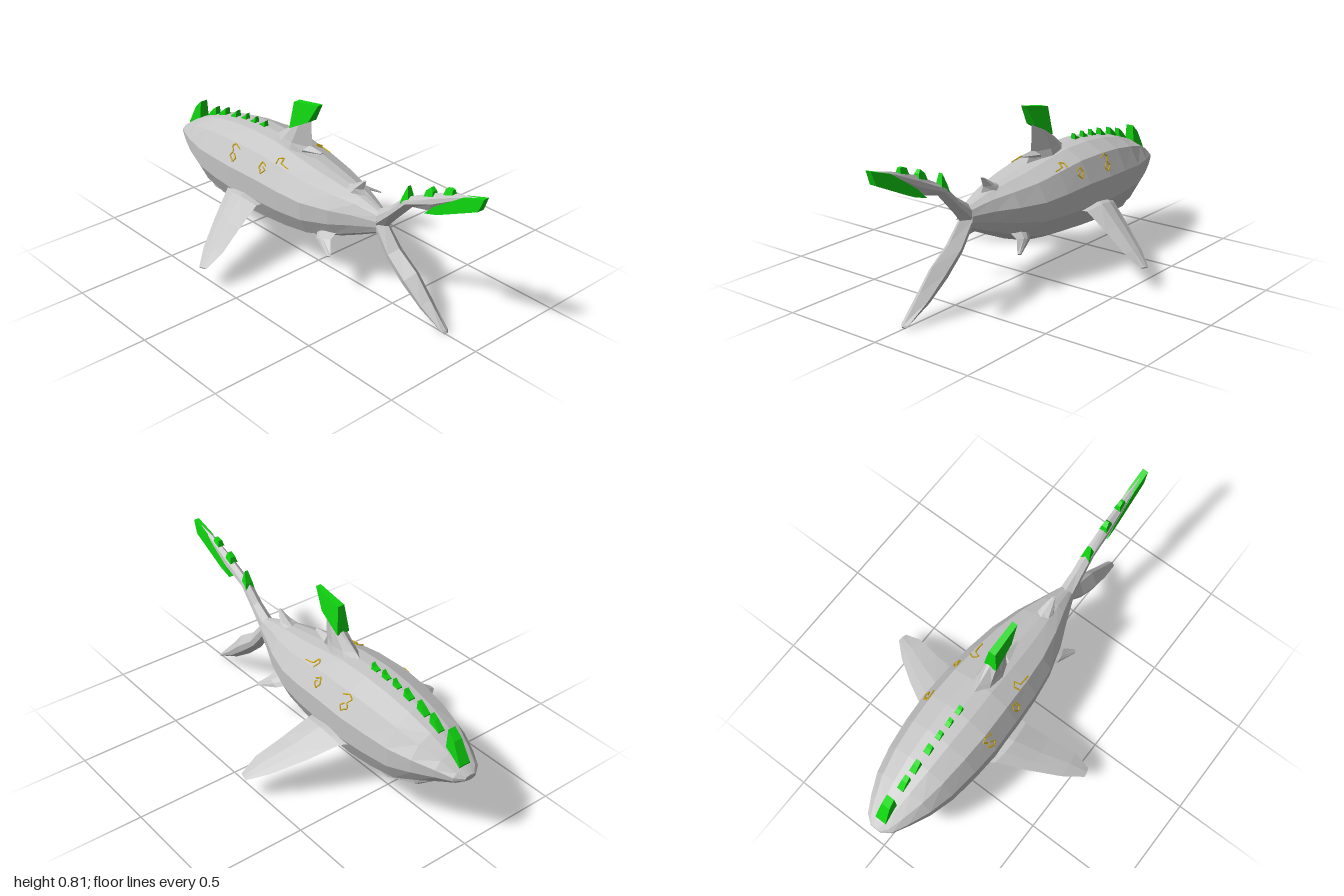
import * as THREE from 'three';

const V = (x, y, z) => new THREE.Vector3(x, y, z);

// Faceted closed skin through rings of equal point count, turned outward by its signed volume
function loft(rings) {
  const n = rings[0].length, last = rings.length - 1;
  let tris = [];
  for (let i = 0; i < last; i++) for (let j = 0; j < n; j++) {
    const k = (j + 1) % n, a = rings[i][j], b = rings[i][k], c = rings[i + 1][k], d = rings[i + 1][j];
    tris.push([a, b, c], [a, c, d]);
  }
  for (let j = 1; j < n - 1; j++) {
    tris.push([rings[0][0], rings[0][j + 1], rings[0][j]]);
    tris.push([rings[last][0], rings[last][j], rings[last][j + 1]]);
  }
  const volume = tris.reduce((s, [a, b, c]) => s + a.dot(b.clone().cross(c)), 0);
  if (volume < 0) tris = tris.map(([a, b, c]) => [a, c, b]);
  const g = new THREE.BufferGeometry().setFromPoints(tris.flat());
  g.computeVertexNormals();
  return g;
}

// Fin from [leading point, trailing point, half thickness] stations; thickness runs along dir
function fin(stations, dir) {
  return loft(stations.map(([a, b, t]) => {
    const lead = V(...a), trail = V(...b);
    const at = (f, s) => lead.clone().lerp(trail, f).addScaledVector(dir, s);
    return [lead, at(0.25, t * 0.85), at(0.55, t), trail, at(0.55, -t), at(0.25, -t * 0.85)];
  }));
}

// Upright plate from a [z, y] outline, optionally narrowing towards its top
function plate(outline, half, topScale = 1) {
  const shape = new THREE.Shape(outline.map(([z, y]) => new THREE.Vector2(z, y)));
  const g = new THREE.ExtrudeGeometry(shape, { depth: half * 2, bevelEnabled: false });
  g.translate(0, 0, -half).rotateY(-Math.PI / 2);
  const ys = outline.map(p => p[1]), lo = Math.min(...ys), hi = Math.max(...ys), p = g.attributes.position;
  for (let i = 0; i < p.count; i++) {
    p.setX(i, p.getX(i) * THREE.MathUtils.lerp(1, topScale, (p.getY(i) - lo) / (hi - lo)));
  }
  g.computeVertexNormals();
  return g;
}

// Body stations: z, half width, top y, bottom y
const BODY = [
  [-1, 0.03, 0.382, 0.357], [-0.97, 0.07, 0.402, 0.338], [-0.9, 0.108, 0.447, 0.305],
  [-0.8, 0.152, 0.498, 0.25], [-0.68, 0.182, 0.538, 0.185], [-0.54, 0.2, 0.565, 0.163],
  [-0.4, 0.209, 0.577, 0.152], [-0.24, 0.203, 0.573, 0.158], [-0.08, 0.192, 0.548, 0.17],
  [0.06, 0.172, 0.522, 0.188], [0.2, 0.13, 0.498, 0.235], [0.31, 0.082, 0.475, 0.283],
  [0.42, 0.038, 0.438, 0.335],
];
// Right half of the cross-section: fraction of width, fraction of height
const SECTION = [[0, 1], [0.3, 0.985], [0.73, 0.88], [1, 0.63], [0.98, 0.36], [0.74, 0.12], [0.28, 0.01]];
const half = ([z, w, top, bot]) => SECTION.map(([u, v]) => V(u * w, bot + v * (top - bot), z));

function bodyRing(row) {
  const right = half(row);
  const left = right.slice(1).reverse().map(p => V(-p.x, p.y, p.z));
  return [...right, ...left];
}

function bodyRow(z) {
  const i = Math.max(1, BODY.findIndex(r => r[0] >= z));
  const a = BODY[i - 1], b = BODY[i], f = (z - a[0]) / (b[0] - a[0]);
  return a.map((v, k) => v + (b[k] - v) * f);
}

// Point on the flank at a given z and y
function flank(z, y) {
  const pts = half(bodyRow(z));
  const i = pts.findIndex((p, k) => k > 0 && p.y <= y);
  const p = pts[i - 1].clone().lerp(pts[i], (pts[i - 1].y - y) / (pts[i - 1].y - pts[i].y));
  return p.add(V(0.002, 0.002, 0));
}

export function createModel() {
  const root = new THREE.Group();
  root.name = 'armouredShark';
  const material = (name, color) => Object.assign(new THREE.MeshStandardMaterial({ color }), { name });
  const skin = material('grey skin', 0xc6c6c6);
  const green = material('green armour', 0x0fd40f);
  const gold = material('gold markings', 0xd8b010);
  const add = (name, geometry, mat) => {
    const mesh = new THREE.Mesh(geometry, mat);
    mesh.name = name;
    root.add(mesh);
  };
  const X = V(1, 0, 0);

  add('body', loft(BODY.map(bodyRing)), skin);
  add('lowerJaw', loft([
    [-0.84, 0.04, 0.277, 0.26], [-0.77, 0.095, 0.275, 0.21], [-0.63, 0.13, 0.25, 0.166], [-0.45, 0.11, 0.22, 0.16],
  ].map(bodyRing)), skin);

  // Tail lobes
  add('upperTailLobe', fin([
    [[0, 0.445, 0.40], [0, 0.335, 0.42], 0.038],
    [[0, 0.50, 0.485], [0, 0.43, 0.50], 0.03],
    [[0, 0.567, 0.556], [0, 0.535, 0.60], 0.026],
    [[0, 0.655, 0.73], [0, 0.56, 0.71], 0.024],
    [[0, 0.702, 0.87], [0, 0.655, 0.85], 0.015],
    [[0, 0.727, 0.98], [0, 0.715, 0.97], 0.006],
  ], X), skin);
  add('lowerTailLobe', fin([
    [[0, 0.335, 0.40], [0, 0.42, 0.43], 0.036],
    [[0, 0.24, 0.475], [0, 0.30, 0.53], 0.044],
    [[0, 0.15, 0.575], [0, 0.225, 0.64], 0.048],
    [[0, 0.07, 0.69], [0, 0.13, 0.725], 0.038],
    [[0, 0.015, 0.81], [0, 0.02, 0.83], 0.02],
    [[0, 0.002, 0.826], [0, 0.012, 0.834], 0.01],
  ], X), skin);
  add('tailBlade', plate([[1, 0.735], [0.89, 0.70], [0.74, 0.6], [0.69, 0.55], [0.76, 0.57], [0.975, 0.67]], 0.024, 0.6), green);

  // Dorsal fins
  add('dorsalFin', fin([
    [[0, 0.54, -0.33], [0, 0.52, 0.0], 0.058],
    [[0, 0.592, -0.26], [0, 0.58, -0.045], 0.042],
    [[0, 0.66, -0.165], [0, 0.72, -0.05], 0.028],
  ], X), skin);
  add('dorsalNotch', fin([
    [[0, 0.545, -0.09], [0, 0.59, -0.06], 0.035],
    [[0, 0.572, 0.02], [0, 0.58, 0.025], 0.01],
  ], X), skin);
  add('dorsalBlade', plate([[0.012, 0.812], [-0.15, 0.782], [-0.167, 0.648], [-0.045, 0.715]], 0.034, 0.4), green);
  add('rearDorsalFin', fin([
    [[0, 0.48, 0.16], [0, 0.46, 0.32], 0.045],
    [[0, 0.505, 0.235], [0, 0.50, 0.30], 0.028],
    [[0, 0.545, 0.30], [0, 0.543, 0.315], 0.008],
  ], X), skin);

  // Paired fins and flank markings
  const marks = [
    [[-0.37, 0.505], [-0.41, 0.52], [-0.43, 0.505], [-0.41, 0.485], [-0.425, 0.465], [-0.39, 0.445], [-0.38, 0.465], [-0.4, 0.48]],
    [[-0.18, 0.485], [-0.21, 0.5], [-0.22, 0.475], [-0.2, 0.45], [-0.18, 0.47], [-0.2, 0.48]],
    [[-0.06, 0.505], [-0.09, 0.51], [-0.115, 0.515], [-0.125, 0.53], [-0.145, 0.525], [-0.135, 0.51]],
  ];
  for (const [side, s] of [['left', 1], ['right', -1]]) {
    add(side + 'PectoralFin', fin([
      [[s * 0.17, 0.29, -0.46], [s * 0.17, 0.30, -0.185], 0.028],
      [[s * 0.22, 0.285, -0.42], [s * 0.22, 0.30, -0.19], 0.024],
      [[s * 0.35, 0.215, -0.345], [s * 0.34, 0.235, -0.165], 0.016],
      [[s * 0.48, 0.15, -0.26], [s * 0.47, 0.165, -0.132], 0.01],
      [[s * 0.565, 0.107, -0.185], [s * 0.555, 0.113, -0.14], 0.004],
    ], V(s * 0.48, 0.88, 0)), skin);
    add(side + 'PelvicFin', fin([
      [[s * 0.1, 0.26, 0.1], [s * 0.09, 0.28, 0.22], 0.016],
      [[s * 0.145, 0.24, 0.15], [s * 0.13, 0.26, 0.225], 0.011],
      [[s * 0.178, 0.207, 0.255], [s * 0.168, 0.212, 0.27], 0.004],
    ], V(s * 0.6, 0.8, 0)), skin);
    marks.forEach((m, i) => {
      const curve = new THREE.CurvePath();
      const pts = m.map(([z, y]) => flank(z, y)).map(p => V(p.x * s, p.y, p.z));
      for (let k = 1; k < pts.length; k++) curve.add(new THREE.LineCurve3(pts[k - 1], pts[k]));
      add(side + 'Marking' + (i + 1), new THREE.TubeGeometry(curve, 32, 0.0035, 4), gold);
    });
  }

  // Spines along the back: z of the peak, height, forward reach, half width
  [[-0.375, 0.028, 0.035, 0.014], [-0.445, 0.03, 0.035, 0.014], [-0.515, 0.03, 0.035, 0.014], [-0.59, 0.032, 0.038, 0.018],
    [-0.675, 0.035, 0.052, 0.018], [-0.755, 0.04, 0.06, 0.018], [-0.872, 0.085, 0.09, 0.03]].forEach(([z, h, r, w], i) => {
    const y = bodyRow(z)[2], front = bodyRow(z - r)[2];
    add('backSpine' + (i + 1), plate([[z, y - 0.01], [z, y + h], [z - r * 0.45, y + h * 0.6 - 0.005], [z - r, front + 0.005], [z - r, front - 0.01]], w, 0.65), green);
  });

  // Spines along the tail: z, base y, peak y, half width
  [[0.572, 0.54, 0.628, 0.024], [0.705, 0.625, 0.676, 0.021], [0.81, 0.672, 0.71, 0.018]].forEach(([z, y, top, w], i) => {
    add('tailSpine' + (i + 1), plate([[z - 0.025, y], [z + 0.022, y + 0.015], [z + 0.018, y + 0.035], [z + 0.005, top], [z - 0.018, y + 0.03]], w, 0.4), green);
  });
  return root;
}
